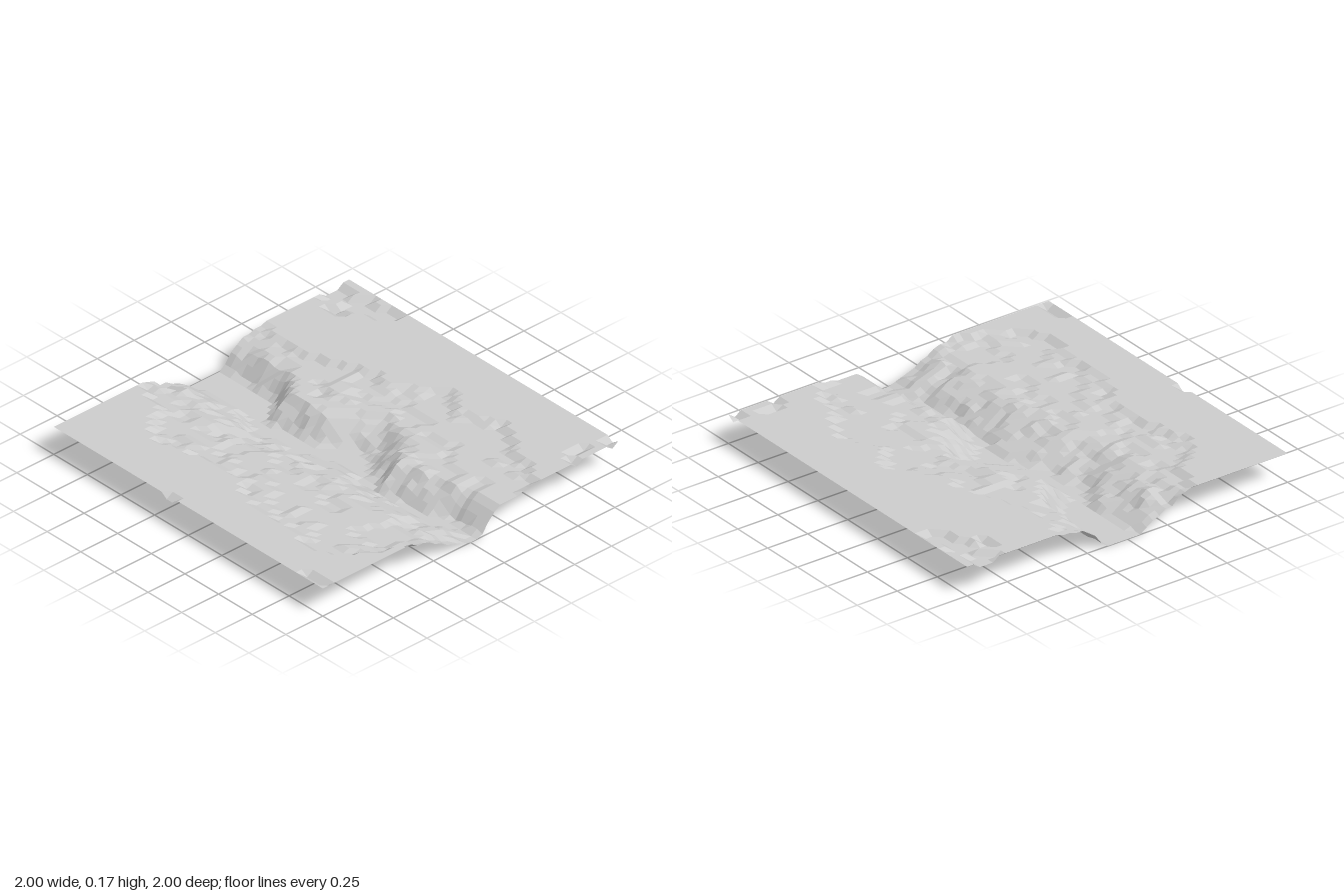
import * as THREE from 'three';

const CELLS = 50, TOP = 0.165, STEP = TOP / 12;

// Plan of the valley: at each x, the z of north rim, north wall top, north bank,
// south bank, south wall top and south rim.
const SECTIONS = [
  [-1.0, -0.39, -0.26, -0.12, 0.08, 0.28, 0.38],
  [-0.85, -0.38, -0.26, -0.14, 0.05, 0.30, 0.44],
  [-0.62, -0.40, -0.25, -0.13, 0.06, 0.36, 0.68],
  [-0.48, -0.46, -0.13, 0.00, 0.12, 0.40, 0.68],
  [-0.3, -0.53, -0.10, 0.00, 0.12, 0.40, 0.66],
  [-0.14, -0.49, -0.20, -0.05, 0.09, 0.34, 0.62],
  [0.0, -0.63, -0.34, -0.14, 0.03, 0.30, 0.60],
  [0.1, -0.69, -0.36, -0.15, 0.03, 0.28, 0.70],
  [0.22, -0.60, -0.26, -0.04, 0.05, 0.26, 0.82],
  [0.35, -0.60, -0.10, 0.02, 0.07, 0.26, 0.74],
  [0.48, -0.70, -0.11, 0.02, 0.07, 0.27, 0.74],
  [0.68, -0.59, -0.15, -0.02, 0.04, 0.28, 0.80],
  [0.82, -0.54, -0.20, -0.08, 0.01, 0.32, 0.72],
  [1.0, -0.40, -0.20, -0.08, 0.00, 0.32, 0.42],
];

// Shallow hollows on the plateau: x, z, radius in x, radius in z
const HOLLOWS = [
  [-0.96, -0.88, 0.07, 0.09], [-0.80, -0.88, 0.09, 0.07], [-0.66, -0.92, 0.08, 0.05],
  [-0.84, -0.77, 0.06, 0.03], [0.91, -0.81, 0.03, 0.06], [0.98, -0.97, 0.03, 0.04],
  [0.97, -0.72, 0.04, 0.04], [0.9, 0.97, 0.07, 0.035], [-0.15, 1.0, 0.035, 0.03],
];

function hash(i, j) {
  const s = Math.sin(i * 127.1 + j * 311.7) * 43758.5453;
  return s - Math.floor(s);
}

// Smooth value noise in -1..1
function noise(x, z) {
  const i = Math.floor(x), j = Math.floor(z);
  const ease = (t) => t * t * (3 - 2 * t);
  const u = ease(x - i), v = ease(z - j);
  const { lerp } = THREE.MathUtils;
  return 2 * lerp(
    lerp(hash(i, j), hash(i + 1, j), u),
    lerp(hash(i, j + 1), hash(i + 1, j + 1), u), v) - 1;
}

function sectionAt(x) {
  let k = 0;
  while (k < SECTIONS.length - 2 && x > SECTIONS[k + 1][0]) k++;
  const a = SECTIONS[k], b = SECTIONS[k + 1];
  const t = THREE.MathUtils.clamp((x - a[0]) / (b[0] - a[0]), 0, 1);
  return a.slice(1).map((v, n) => v + (b[n + 1] - v) * t);
}

// Height of one bank, from the water's edge out to the plateau
function bankHeight(d, wall, rim) {
  if (d <= 0) return 0;
  if (d >= rim) return TOP;
  if (d < wall) return 0.13 * Math.pow(d / wall, 0.85);
  return 0.13 + 0.015 * (d - wall) / (rim - wall);
}

function terrainHeight(x, z) {
  const [rimN, wallN, bankN, bankS, wallS, rimS] = sectionAt(x);
  const rough = 0.04 * noise(x * 9 + 3, z * 9) + 0.02 * noise(x * 22, z * 22 + 7);
  const middle = (bankN + bankS) / 2;
  let h = z < middle
    ? bankHeight(bankN - z + rough * 0.6, bankN - wallN, bankN - rimN)
    : bankHeight(z - bankS + rough, wallS - bankS, rimS - bankS);
  // Small ledges on the slopes
  if (h > 0.02 && h < TOP) h += 0.012 * noise(x * 14, z * 14 + 40);
  for (const [cx, cz, rx, rz] of HOLLOWS) {
    const r = Math.hypot((x - cx) / rx, (z - cz) / rz);
    if (r + 0.3 * noise(x * 20, z * 20) < 1) h = Math.min(h, TOP - STEP * 1.6);
  }
  // Terraced levels, with the river bed always kept open
  if (Math.abs(z - middle) < 0.02) h = 0;
  return THREE.MathUtils.clamp(Math.round(h / STEP) * STEP, 0, TOP);
}

export function createModel() {
  const model = new THREE.Group();
  model.name = 'riverValley';

  // Square sheet of land, raised by the height rule
  const land = new THREE.PlaneGeometry(2, 2, CELLS, CELLS).rotateX(-Math.PI / 2);
  const p = land.attributes.position;
  for (let i = 0; i < p.count; i++) p.setY(i, terrainHeight(p.getX(i), p.getZ(i)));

  const geometry = land.toNonIndexed();
  geometry.computeVertexNormals();
  const terrain = new THREE.Mesh(geometry, new THREE.MeshStandardMaterial({
    color: 0xcccccc, flatShading: true, side: THREE.DoubleSide,
  }));
  terrain.name = 'terrain';
  model.add(terrain);
  return model;
}
